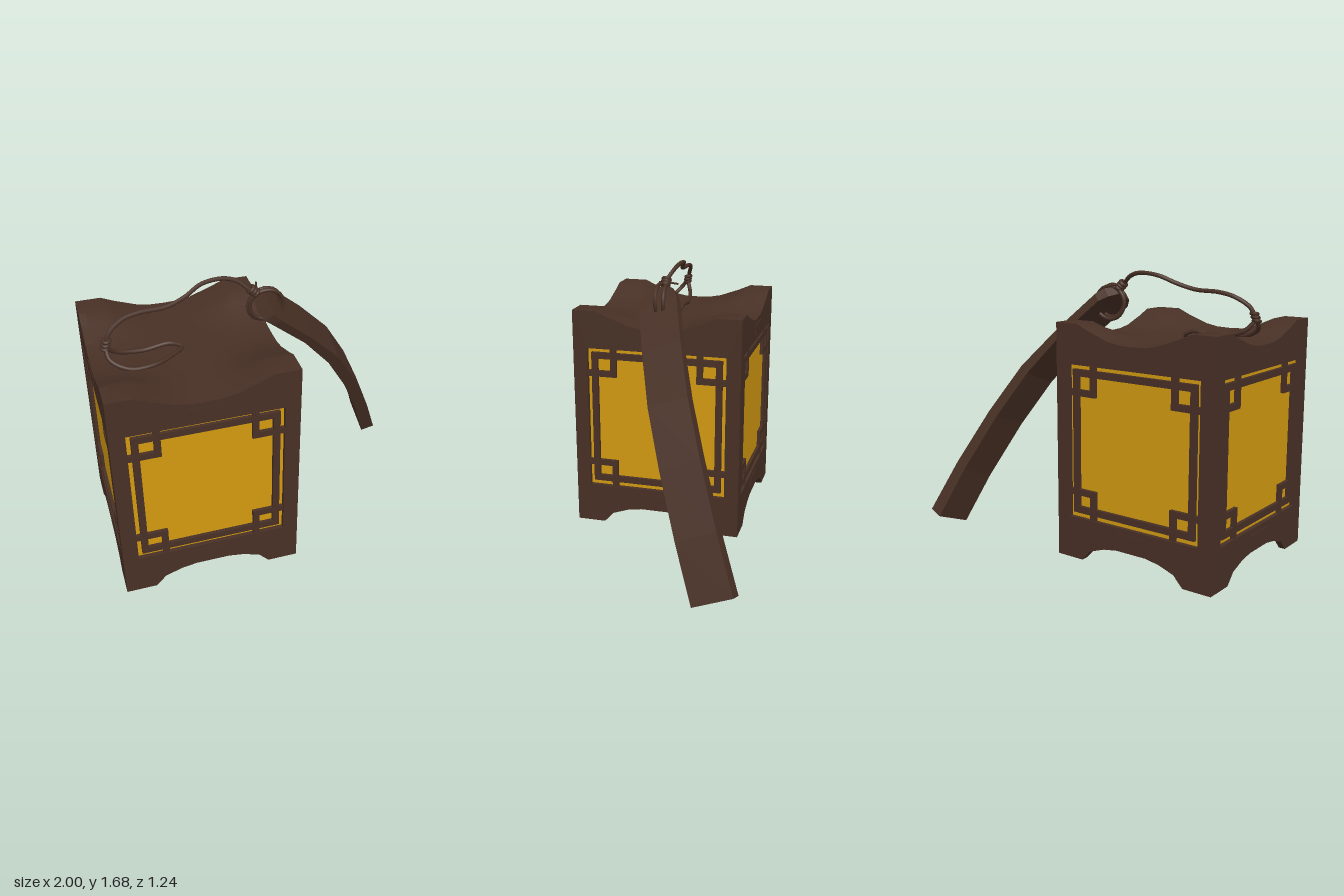
import * as THREE from 'three';

const CX = -0.47, CZ = 0.09, HALF = 0.53; // lantern centre and half width
// dipping top edge: distance from the middle, height
const TOP = [[0, 1.3], [0.09, 1.303], [0.17, 1.318], [0.23, 1.34], [0.3, 1.365], [0.38, 1.4], [HALF, 1.4]];
// arched foot edge
const FOOT = [[HALF, 0], [0.35, 0], [0.29, 0.065], [0.19, 0.1], [0.1, 0.115]];

export function createModel() {
  const wood = new THREE.MeshStandardMaterial({ color: 0x483025 });
  wood.name = 'dark wood';
  const paper = new THREE.MeshStandardMaterial({ color: 0xd29a10 });
  paper.name = 'amber paper';
  const roofWood = wood;
  roofWood.side = THREE.DoubleSide;

  const model = new THREE.Group();
  model.name = 'lantern';
  const add = (parent, name, geo, mat = wood) => {
    const m = new THREE.Mesh(geo, mat);
    m.name = name;
    parent.add(m);
    return m;
  };
  const box = (parent, name, x0, x1, y0, y1, z0, z1, mat) =>
    add(parent, name, new THREE.BoxGeometry(x1 - x0, y1 - y0, z1 - z0), mat)
      .position.set((x0 + x1) / 2, (y0 + y1) / 2, (z0 + z1) / 2);

  // Wall outline with a window hole
  const flip = (p) => [-p[0], p[1]];
  const outline = [
    ...FOOT, ...FOOT.map(flip).reverse(),
    ...TOP.map(flip).reverse(), ...TOP.slice(1),
  ].map((p) => new THREE.Vector2(...p));
  const wallShape = new THREE.Shape(outline);
  const X = 0.44, Y0 = 0.255, Y1 = 1.165;
  wallShape.holes.push(new THREE.Path([[-X, Y0], [-X, Y1], [X, Y1], [X, Y0]].map((p) => new THREE.Vector2(...p))));
  const wallGeo = new THREE.ExtrudeGeometry(wallShape, { depth: 0.04, bevelEnabled: false });

  // Four identical sides
  const body = new THREE.Group();
  body.name = 'body';
  body.position.set(CX, 0, CZ);
  model.add(body);
  for (let i = 0; i < 4; i++) {
    const side = new THREE.Group();
    side.name = 'side' + (i + 1);
    side.rotation.y = i * Math.PI / 2;
    body.add(side);
    add(side, 'wall', wallGeo).position.z = HALF - 0.04;
    box(side, 'paperPane', -X, X, Y0, Y1, 0.496, 0.504, paper);

    // Lattice: inner frame plus crossing bars at each corner
    const z0 = 0.504, z1 = 0.525, fx = 0.415, fy0 = 0.285, fy1 = 1.14, b = 0.04;
    for (const s of [-1, 1]) {
      const bar = (name, xa, xb, ya, yb) =>
        box(side, name, Math.min(s * xa, s * xb), Math.max(s * xa, s * xb), ya, yb, z0, z1);
      bar('latticeUpright', fx - b, fx, fy0, fy1);
      for (const [ya, yb, edge, ha] of [[0.255, 0.43, 0, 0.392], [0.985, 1.165, 1, 0.985]]) {
        bar('latticeCornerUpright', 0.255, 0.293, ya, yb);
        bar('latticeCornerRail', 0.255, X, ha, ha + 0.038);
      }
    }
    box(side, 'latticeRail', -fx, fx, fy0, fy0 + b, z0, z1);
    box(side, 'latticeRail', -fx, fx, fy1 - b, fy1, z0, z1);

    // Small plaques above and below the window
    for (const y of [0.187, 1.235])
      box(side, 'plaque', -0.095, 0.095, y - 0.034, y + 0.034, 0.487, 0.533);
  }

  // Swept roof: a grid whose corners rise to the wall tops
  const steps = [...TOP.map((p) => -p[0]).reverse(), ...TOP.slice(1).map((p) => p[0])];
  const lift = (u) => {
    const k = TOP.findIndex((p) => Math.abs(p[0] - Math.abs(u)) < 1e-4);
    return (TOP[k][1] - 1.3) / 0.1;
  };
  const n = steps.length - 1;
  const roof = new THREE.PlaneGeometry(1, 1, n, n);
  for (let j = 0; j <= n; j++) for (let i = 0; i <= n; i++) {
    const u = steps[i], v = steps[j];
    roof.attributes.position.setXYZ(j * (n + 1) + i, u, 1.3 + 0.1 * lift(u) * lift(v), v);
  }
  roof.computeVertexNormals();
  add(body, 'roof', roof, roofWood);

  // Curved plank handle: inner x, y, outer x, y, half width
  const stations = [
    [-0.04, 1.51, 0.0, 1.55, 0.06], [-0.005, 1.48, 0.04, 1.525, 0.105],
    [0.05, 1.445, 0.085, 1.485, 0.1235], [0.27, 1.236, 0.305, 1.274, 0.1235],
    [0.47, 0.986, 0.53, 1.024, 0.1235], [0.636, 0.706, 0.71, 0.729, 0.1235],
    [0.8, 0.361, 0.876, 0.394, 0.1235], [0.914, 0.056, 1.0, 0.085, 0.1235],
  ];
  const at = (x, y, w) => [x, y - 0.371 * w, 0.085 - (1.53 - y) * 0.4 + 0.928 * w];
  const rings = stations.map(([xi, yi, xo, yo, w]) => [at(xi, yi, w), at(xo, yo, w), at(xo, yo, -w), at(xi, yi, -w)]);
  const pos = [];
  const quad = (a, b, c, d) => pos.push(...a, ...b, ...c, ...a, ...c, ...d);
  for (let i = 0; i < rings.length - 1; i++) for (let k = 0; k < 4; k++) {
    const l = (k + 1) % 4;
    quad(rings[i][k], rings[i + 1][k], rings[i + 1][l], rings[i][l]);
  }
  quad(...rings[0]);
  quad(...rings[rings.length - 1].slice().reverse());
  const plank = new THREE.BufferGeometry();
  plank.setAttribute('position', new THREE.Float32BufferAttribute(pos, 3));
  plank.computeVertexNormals();
  add(model, 'handle', plank);

  // Cord, loop and knots
  const cord = new THREE.Group();
  cord.name = 'cord';
  model.add(cord);
  const tube = (name, pts, r = 0.013, seg = 48) => add(cord, name,
    new THREE.TubeGeometry(new THREE.CatmullRomCurve3(pts.map((p) => new THREE.Vector3(...p))), seg, r, 8));
  tube('mainCord', [
    [-0.91, 1.41, 0.14], [-0.885, 1.49, 0.12], [-0.8, 1.55, 0.09], [-0.7, 1.573, 0.082], [-0.55, 1.58, 0.078],
    [-0.44, 1.61, 0.055], [-0.33, 1.655, 0.015], [-0.2, 1.665, 0.01], [-0.12, 1.64, 0.025], [-0.06, 1.59, 0.05], [-0.02, 1.555, 0.06],
  ]);
  tube('cordLoop', [
    [-0.91, 1.43, 0.14], [-0.9, 1.37, 0.19], [-0.8, 1.32, 0.235], [-0.65, 1.315, 0.22], [-0.54, 1.312, 0.15],
    [-0.475, 1.31, 0.085], [-0.54, 1.34, 0.075], [-0.7, 1.325, 0.08], [-0.85, 1.36, 0.105], [-0.91, 1.42, 0.135],
  ]);
  const ring = (name, x, y, z, r, t, rx, ry) => {
    const m = add(cord, name, new THREE.TorusGeometry(r, t, 8, 24));
    m.position.set(x, y, z);
    m.rotation.set(rx, ry, 0);
  };
  ring('handleRing', 0.03, 1.475, 0.03, 0.1, 0.012, 0, 0.1);
  ring('handleRing', 0.035, 1.485, 0.06, 0.098, 0.012, 0.08, -0.1);
  for (let i = 0; i < 3; i++) {
    ring('loopKnot', -0.913 + i * 0.006, 1.42 + i * 0.02, 0.14 - i * 0.004, 0.018, 0.011, Math.PI / 2 + 0.2, 0);
    ring('handleKnot', -0.055 + i * 0.014, 1.595 - i * 0.014, 0.05, 0.02, 0.012, Math.PI / 2, 0.7);
  }
  tube('knotTail', [[-0.04, 1.58, 0.09], [-0.02, 1.585, 0.03], [0.0, 1.582, -0.035]], 0.006, 8);

  return model;
}
